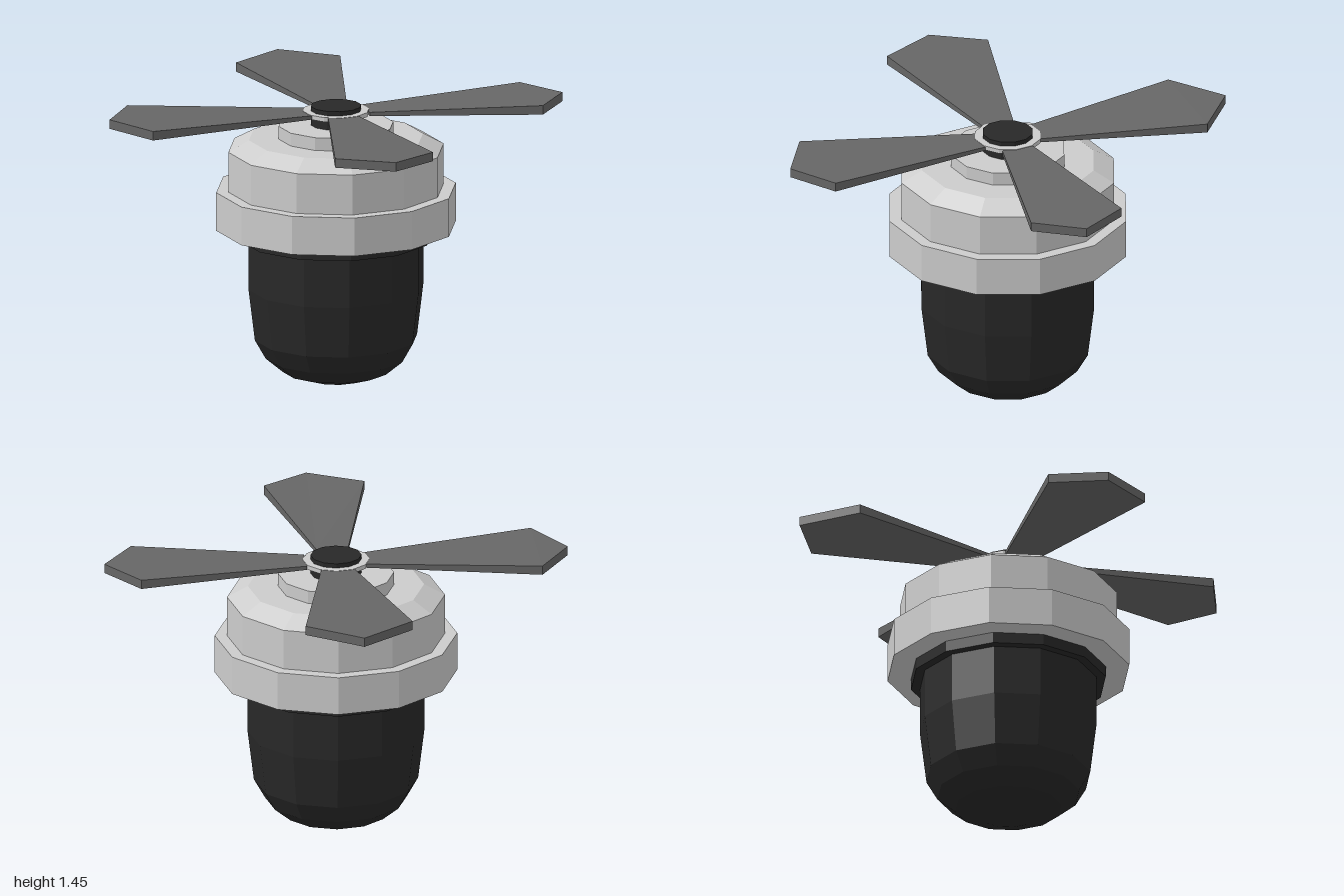
import * as THREE from 'three';

const SIDES = 12;

function namedMaterial(name, color) {
  const m = new THREE.MeshStandardMaterial({ color });
  m.name = name;
  return m;
}

// Faceted solid of revolution; profile is [radius, y] from bottom to top
function turned(name, profile, material) {
  const pts = profile.map(([r, y]) => new THREE.Vector2(r, y));
  const geo = new THREE.LatheGeometry(pts, SIDES).toNonIndexed();
  geo.computeVertexNormals();
  const mesh = new THREE.Mesh(geo, material);
  mesh.name = name;
  return mesh;
}

const disc = (name, r, y0, y1, material) =>
  turned(name, [[0, y0], [r, y0], [r, y1], [0, y1]], material);

// Five-sided paddle, thin at the root and thick at the tip
function blade(name, outline, material) {
  const shape = new THREE.Shape(outline.map(([x, z]) => new THREE.Vector2(x, -z)));
  const geo = new THREE.ExtrudeGeometry(shape, { depth: 1, bevelEnabled: false });
  geo.rotateX(-Math.PI / 2);
  const p = geo.attributes.position;
  for (let i = 0; i < p.count; i++) {
    const atRoot = Math.hypot(p.getX(i), p.getZ(i)) < 0.35;
    const thickness = atRoot ? 0.02 : 0.048;
    p.setY(i, (atRoot ? 1.416 : 1.424) + (p.getY(i) - 0.5) * thickness);
  }
  geo.computeVertexNormals();
  const mesh = new THREE.Mesh(geo, material);
  mesh.name = name;
  return mesh;
}

export function createModel() {
  const light = namedMaterial('light grey', 0xcccccc);
  const dark = namedMaterial('black', 0x282828);
  const grey = namedMaterial('blade grey', 0x666666);

  const model = new THREE.Group();
  model.name = 'rotorUnit';

  // Turned body, stacked from the rounded bottom to the hub
  const body = new THREE.Group();
  body.name = 'body';
  body.position.set(0.008, 0, -0.016);
  body.scale.z = 1.012;
  body.add(
    turned('roundedPod', [
      [0, 0], [0.148, 0.002], [0.275, 0.043], [0.365, 0.118], [0.422, 0.218],
      [0.455, 0.49], [0.455, 0.76],
    ], dark),
    disc('podFlange', 0.502, 0.752, 0.82, dark),
    disc('housingRing', 0.623, 0.81, 1.013, light),
    turned('housingTop', [
      [0.56, 1.005], [0.56, 1.225], [0.453, 1.284], [0, 1.284],
    ], light),
    disc('collar', 0.298, 1.28, 1.352, light),
    disc('bladeRing', 0.172, 1.405, 1.428, light),
    disc('hub', 0.131, 1.345, 1.451, dark),
  );
  model.add(body);

  // Four slightly uneven blades, outlines as [x, z]
  const outlines = {
    backRightBlade: [[-0.69, -0.992], [-0.342, -0.987], [0, -0.19], [-0.144, -0.094], [-0.791, -0.66]],
    backLeftBlade: [[0.717, -0.81], [0.995, -0.698], [1, -0.404], [0.187, -0.035], [0.091, -0.174]],
    frontLeftBlade: [[0.813, 0.687], [0.711, 0.955], [0.39, 0.992], [0.027, 0.147], [0.166, 0.061]],
    frontRightBlade: [[-1, 0.356], [-0.979, 0.666], [-0.684, 0.81], [-0.064, 0.136], [-0.16, -0.003]],
  };
  const rotor = new THREE.Group();
  rotor.name = 'rotorBlades';
  for (const [name, outline] of Object.entries(outlines)) rotor.add(blade(name, outline, grey));
  model.add(rotor);

  return model;
}
